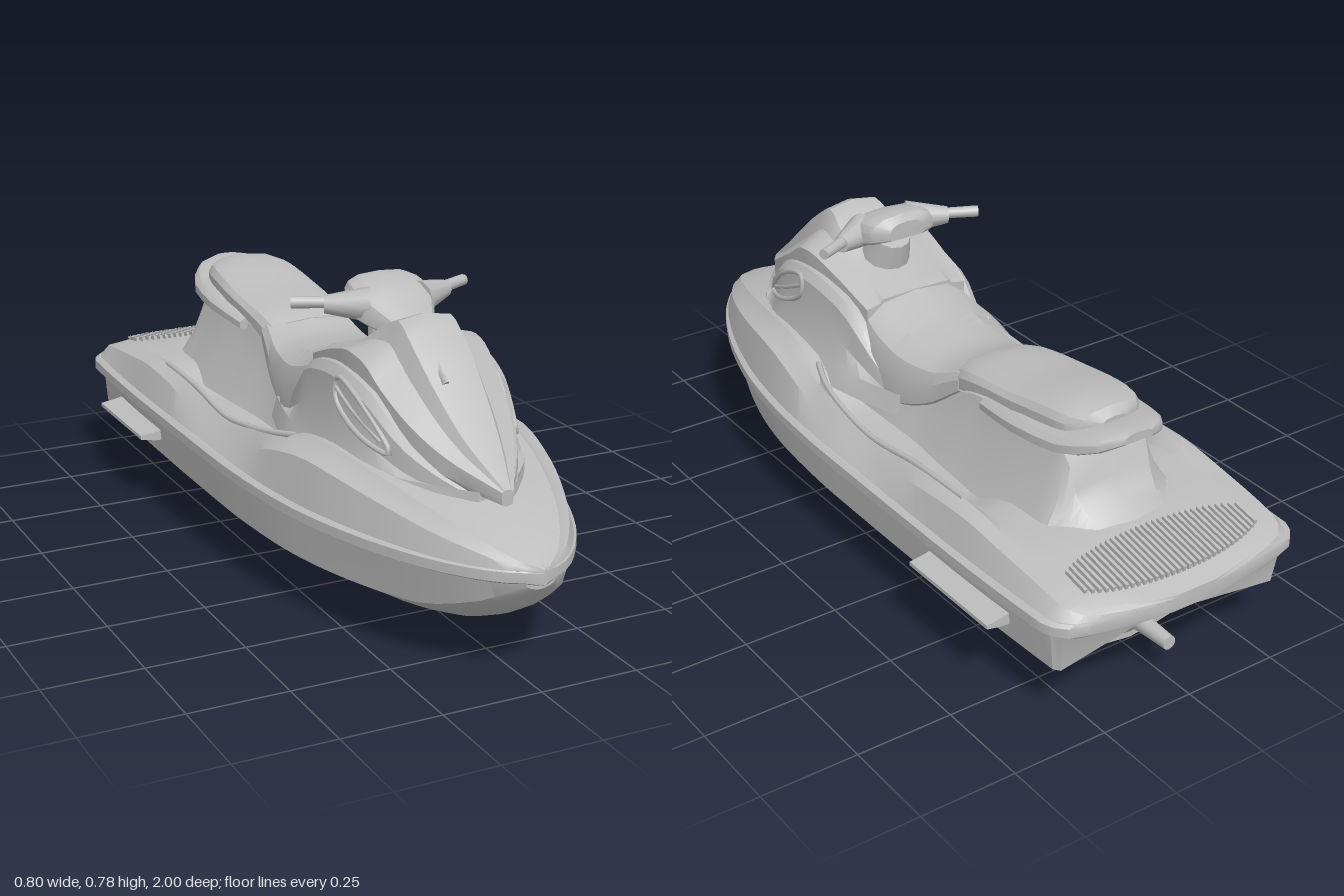
import * as THREE from 'three';
import { toCreasedNormals } from 'three/addons/utils/BufferGeometryUtils.js';

const grey = new THREE.MeshStandardMaterial({ color: 0xbcbcbc });
grey.name = 'hull grey';

// Smooth lookup in rows of [z, a, b, ...] sorted by rising z
function sample(rows, z) {
  const n = rows.length;
  if (z <= rows[0][0]) return rows[0].slice(1);
  if (z >= rows[n - 1][0]) return rows[n - 1].slice(1);
  let i = 0;
  while (rows[i + 1][0] < z) i++;
  const h = rows[i + 1][0] - rows[i][0], t = (z - rows[i][0]) / h;
  const grad = (k, c) => {
    const d = (m) => (rows[m + 1][c] - rows[m][c]) / (rows[m + 1][0] - rows[m][0]);
    if (k === 0) return d(0);
    if (k === n - 1) return d(n - 2);
    const p = d(k - 1), q = d(k);
    return p * q <= 0 ? 0 : (2 * p * q) / (p + q);
  };
  return rows[0].slice(1).map((_, j) => {
    const c = j + 1, a = rows[i][c], b = rows[i + 1][c];
    const t2 = t * t, t3 = t2 * t;
    return a * (2 * t3 - 3 * t2 + 1) + b * (3 * t2 - 2 * t3)
      + grad(i, c) * h * (t3 - 2 * t2 + t) + grad(i + 1, c) * h * (t3 - t2);
  });
}

// Closed skin over half profiles (top centre, outward, bottom centre), back to front
function loft(zs, profile) {
  const pos = [], idx = [];
  let n = 0;
  zs.forEach((z) => {
    const half = profile(z);
    const ring = [...half, ...half.slice(1, -1).reverse().map(([x, y, pz]) => [-x, y, pz])];
    n = ring.length;
    ring.forEach(([x, y, pz]) => pos.push(x, y, pz ?? z));
  });
  const last = zs.length - 1;
  for (let i = 0; i < last; i++) {
    for (let j = 0; j < n; j++) {
      const k = (j + 1) % n, a = i * n + j, b = i * n + k;
      idx.push(a, a + n, b, b, a + n, b + n);
    }
  }
  for (const end of [0, last]) {
    const c = pos.length / 3, o = end * n;
    const sum = [0, 0, 0];
    for (let j = 0; j < n; j++) for (let m = 0; m < 3; m++) sum[m] += pos[(o + j) * 3 + m] / n;
    pos.push(...sum);
    for (let j = 0; j < n; j++) {
      const k = (j + 1) % n;
      if (end) idx.push(c, o + k, o + j); else idx.push(c, o + j, o + k);
    }
  }
  const g = new THREE.BufferGeometry();
  g.setAttribute('position', new THREE.Float32BufferAttribute(pos, 3));
  g.setIndex(idx);
  return toCreasedNormals(g, 0.5);
}

const range = (a, b, n) => Array.from({ length: n + 1 }, (_, i) => a + ((b - a) * i) / n);

// Plan outline half width
const WIDTH = [[-1, 0.08], [-0.985, 0.2], [-0.955, 0.325], [-0.9, 0.362], [-0.5, 0.374], [0, 0.372], [0.2, 0.363],
  [0.4, 0.338], [0.6, 0.287], [0.8, 0.203], [0.9, 0.136], [0.96, 0.076], [1, 0.004]];
const width = (z) => sample(WIDTH, z)[0];
const LONG = [-1, -0.993, -0.985, -0.97, -0.955, -0.93, ...range(-0.9, 0.9, 36), 0.93, 0.96, 0.98, 1];

// Keel height, chine height and chine width ratio
const BOTTOM = [[-1, 0.06, 0.15, 0.9], [-0.8, 0.035, 0.15, 0.9], [-0.5, 0.012, 0.147, 0.9], [-0.2, 0.003, 0.145, 0.9],
  [0, 0.005, 0.145, 0.9], [0.3, 0.017, 0.148, 0.9], [0.54, 0.04, 0.15, 0.87], [0.73, 0.083, 0.155, 0.82],
  [0.89, 0.158, 0.2, 0.78], [0.95, 0.21, 0.235, 0.78], [0.985, 0.25, 0.258, 0.8]];
// Gunwale, floor, crown and outer shoulder heights
const DECK = [[-1, 0.298, 0.302, 0.302, 0.297], [-0.9, 0.333, 0.337, 0.338, 0.328], [-0.7, 0.36, 0.362, 0.37, 0.355],
  [-0.55, 0.382, 0.36, 0.38, 0.37], [-0.4, 0.385, 0.315, 0.315, 0.362], [-0.1, 0.355, 0.31, 0.31, 0.322], [0.1, 0.378, 0.32, 0.32, 0.335],
  [0.24, 0.402, 0.41, 0.42, 0.38], [0.4, 0.41, 0.432, 0.46, 0.402], [0.6, 0.392, 0.412, 0.44, 0.382], [0.8, 0.358, 0.372, 0.388, 0.346],
  [0.9, 0.332, 0.342, 0.35, 0.324], [1, 0.295, 0.298, 0.3, 0.293]];

// Cushion section from [top, half width, bottom]
const cushion = (rows) => (z) => {
  const [top, w, bot] = sample(rows, z), h = top - bot;
  return [[0, top], [w * 0.6, top - h * 0.06], [w * 0.9, top - h * 0.25], [w, top - h * 0.5], [w, bot + h * 0.1], [w * 0.9, bot], [0, bot]];
};

export function createModel() {
  const model = new THREE.Group();
  const add = (name, geometry, parent = model) => {
    const mesh = new THREE.Mesh(geometry, grey);
    mesh.name = name;
    parent.add(mesh);
    return mesh;
  };
  const tube = (name, pts, r, closed = false) => add(name, new THREE.TubeGeometry(
    new THREE.CatmullRomCurve3(pts.map((p) => new THREE.Vector3(...p)), closed), 32, r, 6, closed));

  // Lower hull with a raked transom
  add('hull', loft(LONG.slice(5, -1), (z) => {
    const w = width(z), [k, c, r] = sample(BOTTOM, z), d = c - k;
    return [[0, 0.268], [0.93 * w, 0.268], [r * w, c], [0.6 * w, k + 0.6 * d], [0.49 * w, k + 0.41 * d], [0.24 * w, k + 0.1 * d], [0, k]]
      .map(([x, y]) => [x, y, Math.max(z, -0.78 - 1.8 * Math.max(0, y - 0.075))]);
  }));
  add('rubRail', loft(LONG, (z) => {
    const w = width(z), i = Math.max(w - 0.012, 0.001);
    return [[0, 0.297], [i, 0.297], [w, 0.29], [w, 0.266], [i, 0.26], [0, 0.26]];
  }));

  // Deck with sunken footwells
  add('deck', loft(LONG, (z) => {
    const w = width(z), [g, f, c, s] = sample(DECK, z);
    return [[0, c], [0.45 * w, f], [0.7 * w, f], [0.78 * w, g], [0.88 * w, s], [0.96 * w, 0.294], [0, 0.28]];
  }));

  // Pedestal under the seat
  const BODY = [[-0.79, 0.35, 0.08, 0.17], [-0.73, 0.395, 0.1, 0.2], [-0.69, 0.44, 0.11, 0.21], [-0.67, 0.5, 0.112, 0.21],
    [-0.64, 0.53, 0.115, 0.21], [-0.5, 0.54, 0.12, 0.21], [-0.3, 0.52, 0.115, 0.2], [-0.1, 0.46, 0.13, 0.185],
    [0.1, 0.5, 0.14, 0.185], [0.25, 0.55, 0.14, 0.19]];
  add('seatPedestal', loft(range(-0.79, 0.25, 52), (z) => {
    const [top, a, b] = sample(BODY, z);
    return [[0, top], [a, top - 0.01], [a * 0.65 + b * 0.35, top * 0.5 + 0.16], [b, 0.325], [0, 0.29]];
  }));

  // Seat: rider cushion, passenger cushion and rear grab lip
  add('frontSeat', loft(range(-0.24, 0.16, 14), cushion([[-0.24, 0.565, 0.125, 0.49], [-0.12, 0.535, 0.15, 0.4],
    [0, 0.548, 0.168, 0.36], [0.08, 0.57, 0.17, 0.38], [0.16, 0.6, 0.16, 0.42]])));
  add('rearSeat', loft([-0.69, -0.67, -0.64, ...range(-0.6, -0.2, 12)], cushion([[-0.69, 0.6, 0.04, 0.56],
    [-0.67, 0.618, 0.085, 0.555], [-0.62, 0.624, 0.115, 0.55], [-0.4, 0.59, 0.13, 0.54], [-0.25, 0.573, 0.125, 0.5], [-0.2, 0.555, 0.115, 0.47]])));
  add('grabLip', loft([-0.775, -0.765, -0.745, -0.7, -0.65, -0.58, -0.5, -0.42, -0.35], cushion([[-0.775, 0.598, 0.04, 0.575],
    [-0.745, 0.598, 0.095, 0.555], [-0.65, 0.58, 0.145, 0.525], [-0.5, 0.565, 0.16, 0.515], [-0.35, 0.54, 0.14, 0.5]])));

  // Side shroud around the front
  const SHROUD = [[-0.04, 0.37, 0.15], [0.08, 0.48, 0.178], [0.2, 0.58, 0.196], [0.35, 0.605, 0.202],
    [0.48, 0.58, 0.192], [0.6, 0.49, 0.155], [0.7, 0.43, 0.1], [0.78, 0.39, 0.04]];
  add('sideShroud', loft(range(-0.04, 0.78, 20), (z) => {
    const [top, w] = sample(SHROUD, z), h = top - 0.36;
    return [[0, top], [w * 0.9, top], [w * 0.99, top - h * 0.1], [w * 1.02, top - h * 0.5], [w * 1.15, 0.41], [w * 1.25, 0.36], [0, 0.3]];
  }));

  // Hood: spine height and half width, shoulder half width and height, skirt height
  const HOOD = [[0.13, 0.59, 0.1, 0.15, 0.57, 0.5], [0.28, 0.64, 0.09, 0.165, 0.625, 0.54], [0.37, 0.7, 0.08, 0.17, 0.645, 0.53],
    [0.43, 0.732, 0.07, 0.165, 0.635, 0.5], [0.5, 0.69, 0.07, 0.156, 0.59, 0.47], [0.6, 0.605, 0.062, 0.134, 0.53, 0.452],
    [0.7, 0.52, 0.046, 0.092, 0.475, 0.43], [0.83, 0.425, 0.008, 0.015, 0.42, 0.405]];
  add('hood', loft(range(0.13, 0.83, 28), (z) => {
    const [top, a, b, y, low] = sample(HOOD, z), d = top - y;
    return [[0, top], [a, top - d * 0.12], [a * 0.75 + b * 0.25, y + d * 0.35], [b, y], [b, low], [b * 0.88, low - 0.015], [0, low - 0.02]];
  }));
  const scoop = add('hoodScoop', new THREE.ConeGeometry(0.016, 0.06, 3));
  scoop.position.set(-0.03, 0.63, 0.572);
  scoop.rotation.x = -0.7;

  // Steering column and handlebar cover
  const column = add('steeringColumn', new THREE.CylinderGeometry(0.05, 0.075, 0.13, 12));
  column.position.set(0, 0.64, 0.27);
  column.rotation.x = -0.4;
  add('handlebarCover', loft(range(0.17, 0.39, 10), cushion([[0.17, 0.765, 0.05, 0.72], [0.2, 0.78, 0.1, 0.71],
    [0.27, 0.768, 0.105, 0.685], [0.33, 0.735, 0.08, 0.67], [0.39, 0.7, 0.05, 0.66]])));

  for (const s of [1, -1]) {
    const side = s > 0 ? 'left' : 'right';
    // Swept handlebar arm and grip
    const arm = add(side + 'HandlebarArm', new THREE.CylinderGeometry(0.022, 0.044, 0.11, 10));
    arm.position.set(s * 0.115, 0.721, 0.25);
    arm.rotation.set(0, s * 0.45, -s * Math.PI / 2);
    const grip = add(side + 'Grip', new THREE.CylinderGeometry(0.015, 0.014, 0.09, 10));
    grip.position.set(s * 0.196, 0.726, 0.211);
    grip.rotation.set(0, s * 0.45, Math.PI / 2);

    // Vent frame and slat on the shroud
    tube(side + 'VentFrame', [[s * 0.168, 0.455, 0.58], [s * 0.192, 0.555, 0.47], [s * 0.2, 0.585, 0.37],
      [s * 0.204, 0.535, 0.37], [s * 0.198, 0.475, 0.48]], 0.007, true);
    tube(side + 'VentSlat', [[s * 0.176, 0.475, 0.55], [s * 0.195, 0.52, 0.45], [s * 0.203, 0.56, 0.37]], 0.006);

    // Lip along the inner gunwale, curving in at the front
    tube(side + 'FootwellLip', [[-0.5, 0.29], [-0.3, 0.29], [-0.1, 0.289], [0.05, 0.283], [0.15, 0.268], [0.23, 0.24]]
      .map(([z, x]) => [s * x, sample(DECK, z)[0], z]), 0.008);

    // Stabiliser fin
    const fin = new THREE.Shape([[0.32, 0.225], [0.36, 0.216], [0.4, 0.21], [0.4, 0.2], [0.36, 0.192], [0.32, 0.19]]
      .map(([x, y]) => new THREE.Vector2(s * x, y)));
    add(side + 'Sponson', new THREE.ExtrudeGeometry(fin, { depth: 0.315, bevelEnabled: false })).position.z = -0.75;
  }

  // Jet nozzle
  const nozzle = add('jetNozzle', new THREE.CylinderGeometry(0.018, 0.026, 0.16, 14));
  nozzle.position.set(0, 0.1, -0.84);
  nozzle.rotation.x = -Math.PI / 2;

  // Ridged boarding mat
  const mat = new THREE.Group();
  mat.name = 'boardingMat';
  model.add(mat);
  for (const x of range(-0.25, 0.25, 32)) {
    const ridge = add('matRidge', new THREE.BoxGeometry(0.008, 0.016, 0.16 * Math.sqrt(1 - (x / 0.28) ** 2)), mat);
    ridge.position.set(x, 0.343, -0.878);
    ridge.rotation.x = -0.2;
  }
  return model;
}
